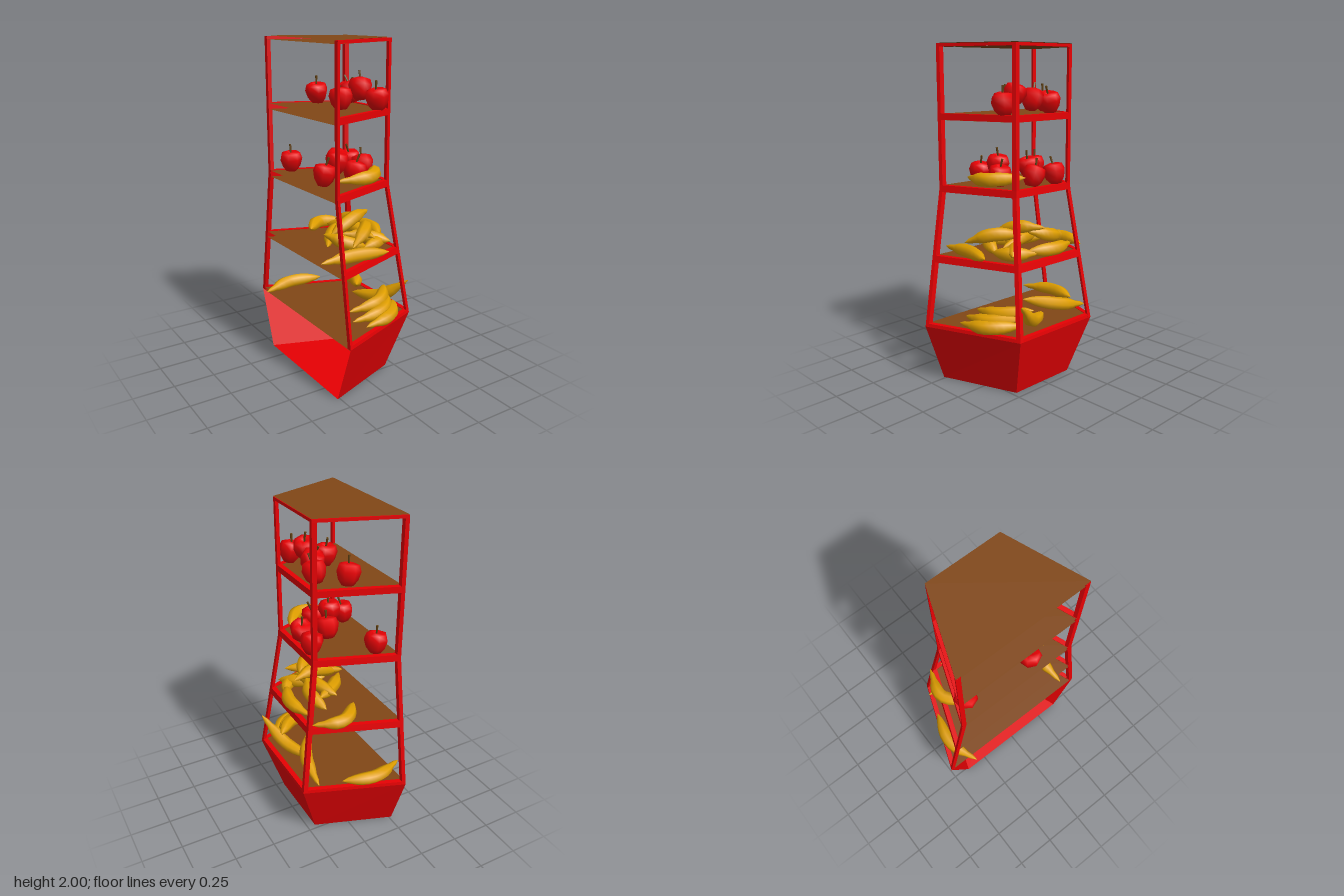
import * as THREE from 'three';
import { mergeVertices } from 'three/addons/utils/BufferGeometryUtils.js';
import { ConvexGeometry } from 'three/addons/geometries/ConvexGeometry.js';

const mat = (name, color, side = THREE.FrontSide) => {
  const m = new THREE.MeshStandardMaterial({ color, side });
  m.name = name;
  return m;
};

const BACK = -0.264;

// Trapezoid outline at height y: front x, half depth at the back and at the front
function foot(y) {
  const t = y <= 0.365 ? y / 0.365 : Math.max(0, (1.18 - y) / 0.815);
  return { X: 0.2 + 0.115 * t, h: 0.393 + 0.129 * t, k: 0.222 + 0.08 * t };
}

// Half depth of the outline at height y and position x
function sideZ(y, x) {
  const { X, h, k } = foot(y);
  return h + (k - h) * (x - BACK) / (X - BACK);
}

// Strip of width w lying along the slanted side, between x0 and x1
const strip = (y, x0, x1, w, s) => [
  [x0, sideZ(y, x0) * s], [x1, sideZ(y, x1) * s],
  [x1, (sideZ(y, x1) - w) * s], [x0, (sideZ(y, x0) - w) * s],
];

// Corners of the whole outline at height y, pulled in a little
const outline = (y, inset) => {
  const { X, h, k } = foot(y);
  return [
    [BACK, y, h - inset], [X - inset, y, k - inset],
    [X - inset, y, inset - k], [BACK, y, inset - h],
  ];
};

// Flat four-cornered sheet
function panel(a, b, c, d) {
  const g = new THREE.BufferGeometry();
  g.setAttribute('position', new THREE.Float32BufferAttribute([a, b, c, a, c, d].flat(), 3));
  g.computeVertexNormals();
  return g;
}

// Solid between two cross-sections, section(y) giving [x, z] corners
function solid(y0, y1, section) {
  const pts = [];
  for (const y of [y0, y1]) for (const [x, z] of section(y)) pts.push(new THREE.Vector3(x, y, z));
  return new ConvexGeometry(pts);
}

// Tapered fruit between two ends, its middle bowed sideways and lifted
function bananaGeometry([x0, y0, z0, x1, y1, z1, bow, lift = 0]) {
  const start = new THREE.Vector3(x0, y0, z0), end = new THREE.Vector3(x1, y1, z1);
  const sideways = new THREE.Vector3(z1 - z0, 0, x0 - x1).setLength(1);
  const middle = start.clone().lerp(end, 0.5).addScaledVector(sideways, bow);
  middle.y += lift;
  const curve = new THREE.CatmullRomCurve3([start, middle, end]);
  const profile = [0.03, 0.38, 0.5, 0.8, 0.97, 1, 1, 1, 0.92, 0.75, 0.48, 0.03];
  const sides = 7, rings = profile.length - 1;
  let g = new THREE.TubeGeometry(curve, rings, 0.04, sides);
  const pos = g.attributes.position, v = new THREE.Vector3();
  for (let i = 0; i <= rings; i++) {
    const c = curve.getPointAt(i / rings);
    for (let j = 0; j <= sides; j++) {
      const n = i * (sides + 1) + j;
      v.fromBufferAttribute(pos, n).sub(c).multiplyScalar(profile[i]).add(c);
      pos.setXYZ(n, v.x, v.y, v.z);
    }
  }
  g.deleteAttribute('uv');
  g.deleteAttribute('normal');
  g = mergeVertices(g, 1e-5);
  g.computeVertexNormals();
  return g;
}

export function createModel() {
  const red = mat('stand red', 0xe80003, THREE.DoubleSide);
  const brown = mat('shelf brown', 0x814716, THREE.DoubleSide);
  const appleRed = mat('apple red', 0xf00205);
  const yellow = mat('banana yellow', 0xe09f00);
  const stemBrown = mat('stem brown', 0x664414);

  const model = new THREE.Group();
  model.name = 'fruitStand';
  const add = (parent, name, geometry, material) => {
    const m = new THREE.Mesh(geometry, material);
    m.name = name;
    parent.add(m);
    return m;
  };

  // Flared base, open at the back
  const low = outline(0, 0), high = outline(0.365, 0);
  add(model, 'baseBottom', panel(...low.slice().reverse()), red);
  for (let i = 0; i < 3; i++) add(model, 'baseWall', panel(low[i], low[i + 1], high[i + 1], high[i]), red);

  // Corner posts: a leaning lower part and an upright upper part
  for (const s of [1, -1]) {
    for (const [y0, y1] of [[0.365, 1.18], [1.18, 1.99]]) {
      add(model, 'backPost', solid(y0, y1, (y) => strip(y, BACK, BACK + 0.02, 0.028, s)), red);
      add(model, 'frontPost', solid(y0, y1, (y) => strip(y, foot(y).X - 0.024, foot(y).X, 0.024, s)), red);
    }
  }

  // Hollow shelves with red rails on three sides; the last one is the roof
  const levels = [[0.363, 0.385], [0.75, 0.79], [1.16, 1.2], [1.575, 1.612], [1.98, 1.997]];
  levels.forEach(([y0, y1], i) => {
    const roof = i === 4;
    const shelf = new THREE.Group();
    shelf.name = roof ? 'roof' : 'shelf';
    model.add(shelf);
    add(shelf, 'boardTop', panel(...outline(roof ? 2 : y1 - 0.003, roof ? 0 : 0.004)), brown);
    add(shelf, 'boardBottom', panel(...outline(y0 - 0.001, 0.004).reverse()), brown);
    for (const s of [1, -1]) {
      add(shelf, 'sideRail', solid(y0, y1, (y) => strip(y, BACK + 0.001, foot(y).X, 0.03, s)), red);
    }
    add(shelf, 'frontRail', solid(y0, y1, (y) => {
      const { X, k } = foot(y);
      return [[X, k], [X, -k], [X - 0.03, -k], [X - 0.03, k]];
    }), red);
  });

  // Apples on the two upper shelves
  const body = new THREE.LatheGeometry(
    [[0, -0.054], [0.032, -0.062], [0.056, -0.03], [0.069, 0.015], [0.058, 0.05], [0.028, 0.06], [0, 0.042]]
      .map(([x, y]) => new THREE.Vector2(x, y)), 7);
  const stem = new THREE.CylinderGeometry(0.007, 0.005, 0.06, 5);
  const apples = [
    [0.105, 1.67, 0.225], [-0.045, 1.67, 0.085], [0.07, 1.72, 0.11],
    [0.13, 1.67, -0.11], [-0.015, 1.67, -0.22], [0.09, 1.69, -0.01],
    [-0.08, 1.31, 0.1], [-0.19, 1.26, 0.14], [-0.16, 1.26, -0.29],
    [0.16, 1.26, -0.13], [0.145, 1.26, 0.03], [0, 1.26, 0.16], [0.02, 1.29, -0.055],
  ];
  apples.forEach((p, i) => {
    const apple = new THREE.Group();
    apple.name = 'apple';
    add(apple, 'appleBody', body, appleRed);
    const st = add(apple, 'appleStem', stem, stemBrown);
    st.position.set(0.006, 0.072, 0);
    st.rotation.z = -0.2;
    apple.position.set(...p);
    apple.rotation.set(0.2 * Math.sin(i * 2.3), i * 1.7, 0.2 * Math.cos(i * 3.1));
    model.add(apple);
  });

  // Bananas: start, end, sideways bow and, for some, lift of the middle
  const bananas = [
    // Upper shelf
    [-0.18, 1.24, 0.25, 0.17, 1.26, 0.12, -0.1],
    // Middle shelf
    [-0.32, 0.81, 0.31, 0.1, 0.82, 0.37, 0.03],
    [0.24, 0.82, -0.28, -0.08, 0.83, -0.2, -0.09],
    [0.22, 0.84, -0.21, 0.2, 0.84, 0.14, 0.045],
    [0.21, 0.96, 0, -0.12, 0.88, 0.1, 0.02, 0.03],
    [-0.12, 0.87, 0.33, 0.12, 0.92, 0.1, -0.03, 0.03],
    [0.1, 0.86, 0.23, 0, 0.87, -0.14, -0.02, 0.025],
    [-0.17, 0.83, 0.14, 0.1, 0.87, -0.12, 0.02],
    [0.11, 0.93, 0.05, 0.12, 0.86, -0.23, -0.035],
    [0.24, 0.83, 0.08, 0.02, 0.82, 0.24, 0.04],
    [-0.16, 0.89, 0.08, 0.04, 0.82, 0.23, -0.03],
    [-0.04, 0.87, 0.08, 0.2, 0.83, 0.25, 0.03],
    // Base floor
    [0.31, 0.57, 0.29, 0.14, 0.41, -0.06, 0, -0.06],
    [0.23, 0.42, -0.34, 0.09, 0.51, 0.06, 0.045],
    [-0.32, 0.41, -0.35, 0.09, 0.42, -0.37, 0.06],
    [-0.08, 0.41, 0.41, 0.25, 0.43, 0.22, -0.06],
    [-0.12, 0.42, 0.33, 0.23, 0.46, 0.2, -0.07],
    [-0.1, 0.45, 0.26, 0.25, 0.5, 0.13, -0.08],
  ];
  for (const b of bananas) add(model, 'banana', bananaGeometry(b), yellow);

  return model;
}
